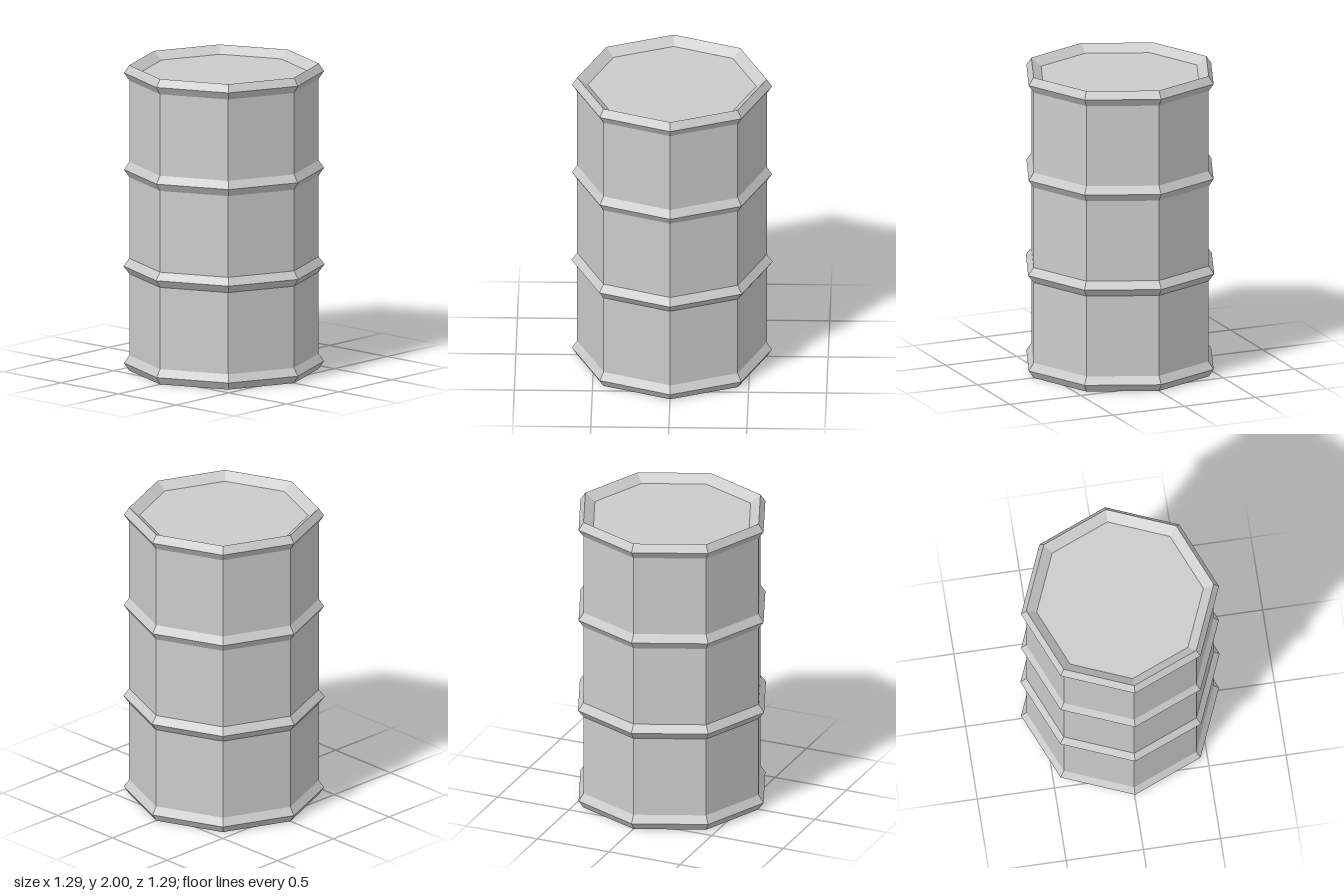
import * as THREE from 'three';

const SIDES = 8;
const BODY = 0.607;   // wall radius
const LID = 0.54;     // radius of the sunken end plates
const HEIGHT = 2;
const SINK = 0.05;    // depth of the end plates

export function createModel() {
  const group = new THREE.Group();
  group.name = 'barrel';
  const material = new THREE.MeshStandardMaterial({ color: 0xcccccc, flatShading: true });

  const add = (name, geometry) => {
    const mesh = new THREE.Mesh(geometry, material);
    mesh.name = name;
    group.add(mesh);
    return mesh;
  };

  // Shell: straight wall with four pointed hoops and a lip sloping in at each end
  const hoops = [[0.05, 0.641], [0.685, 0.645], [1.317, 0.641], [1.95, 0.641]];
  const profile = [new THREE.Vector2(LID, SINK)];
  for (const [y, radius] of hoops) {
    profile.push(
      new THREE.Vector2(BODY, y - 0.05),
      new THREE.Vector2(radius, y),
      new THREE.Vector2(BODY, y + 0.05)
    );
  }
  profile.push(new THREE.Vector2(LID, HEIGHT - SINK));
  add('shell', new THREE.LatheGeometry(profile, SIDES));

  // Sunken end plates
  const plate = new THREE.CircleGeometry(LID, SIDES);
  const lid = add('lid', plate);
  lid.rotation.x = -Math.PI / 2;
  lid.position.y = HEIGHT - SINK;

  const base = add('base', plate);
  base.rotation.x = Math.PI / 2;
  base.position.y = SINK;

  return group;
}
